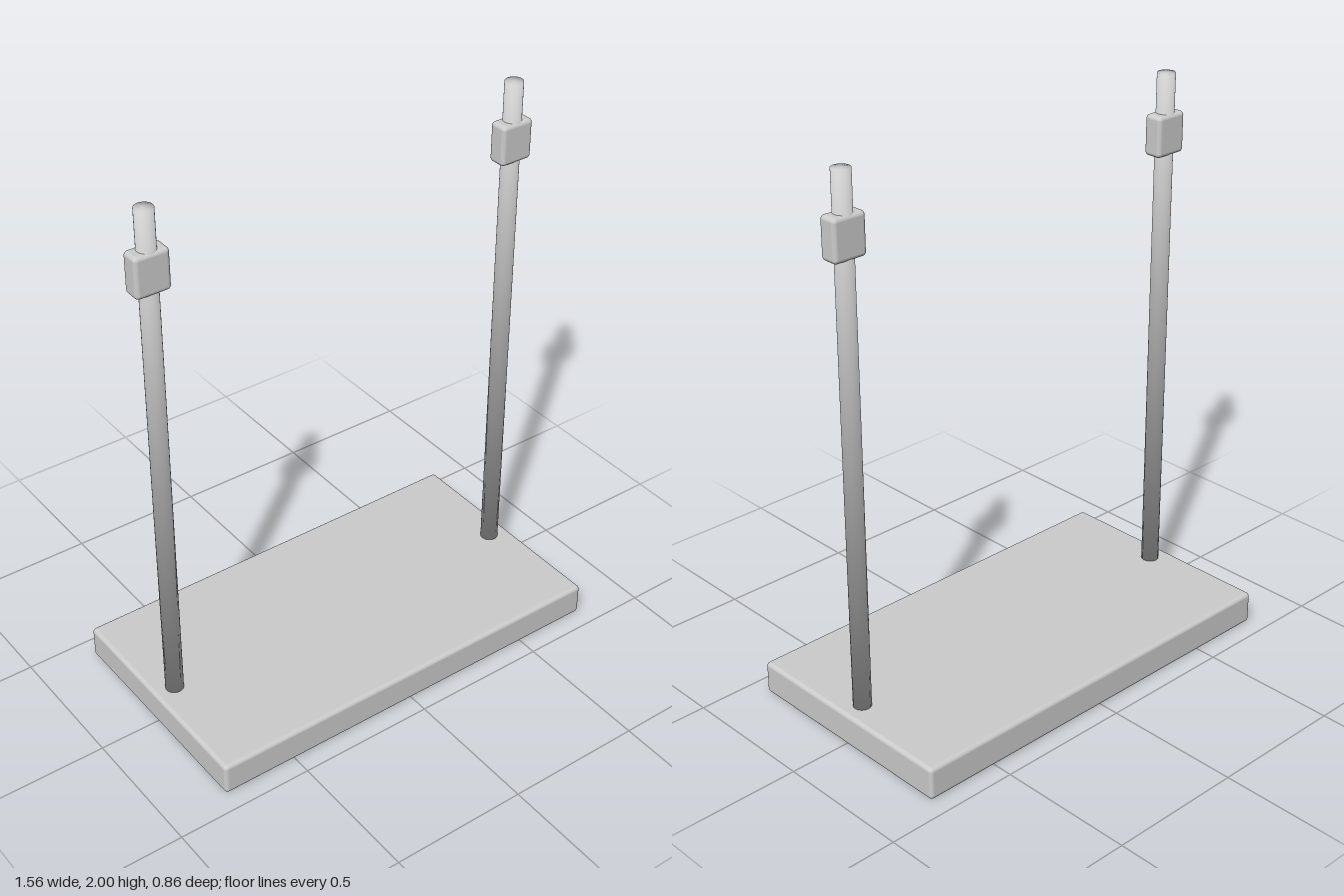
import * as THREE from 'three';
import { RoundedBoxGeometry } from 'three/addons/geometries/RoundedBoxGeometry.js';

// Cylinder whose rim normals are shared between side and caps
function softCylinder(radius, height) {
  const geometry = new THREE.CylinderGeometry(radius, radius, height, 24);
  const { position, normal } = geometry.attributes;
  const v = new THREE.Vector3();
  for (let i = 0; i < position.count; i++) {
    v.fromBufferAttribute(position, i);
    v.set(v.x / radius, Math.sign(v.y), v.z / radius).normalize();
    normal.setXYZ(i, v.x, v.y, v.z);
  }
  return geometry;
}

export function createModel() {
  const model = new THREE.Group();
  model.name = 'twinPostStand';
  const grey = new THREE.MeshStandardMaterial({ color: 0xcccccc });
  grey.name = 'plain grey';

  function add(name, geometry, x, y) {
    const mesh = new THREE.Mesh(geometry, grey);
    mesh.name = name;
    mesh.position.set(x, y, 0);
    model.add(mesh);
  }

  // Base plate
  add('base', new RoundedBoxGeometry(1.56, 0.12, 0.86, 3, 0.015), 0, 0.06);

  // Upright posts, each with a clamp block near the top
  const postBottom = 0.11;
  const postHeight = 2 - postBottom;
  const postGeometry = softCylinder(0.032, postHeight);
  const clampGeometry = new RoundedBoxGeometry(0.126, 0.146, 0.07, 3, 0.015);
  for (const [side, sign] of [['left', 1], ['right', -1]]) {
    add(side + 'Post', postGeometry, sign * 0.703, postBottom + postHeight / 2);
    add(side + 'Clamp', clampGeometry, sign * 0.703, 1.788);
  }

  return model;
}
